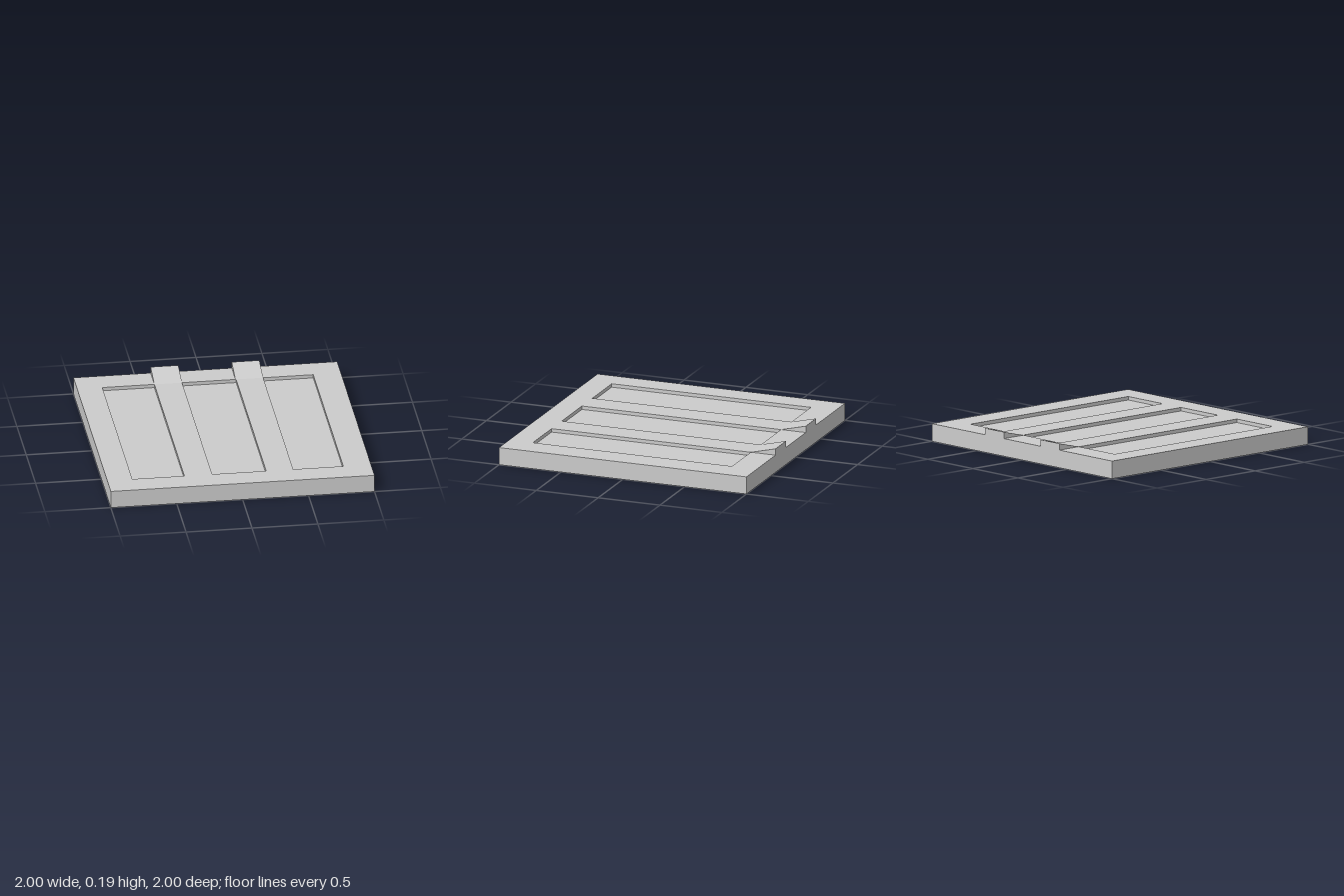
import * as THREE from 'three';

const TOP = 0.135, FLOOR = 0.108;
const Z_BACK = -0.8, Z_FRONT = 0.81;
const panels = [[-0.81, -0.415], [-0.205, 0.205], [0.41, 0.79]];
const ramps = [[-0.415, -0.205], [0.2, 0.41]];

// Outline in plan, with shape y standing for -z
function rect(Type, x0, x1, z0, z1) {
  const s = new Type();
  s.moveTo(x0, -z1);
  s.lineTo(x1, -z1);
  s.lineTo(x1, -z0);
  s.lineTo(x0, -z0);
  s.closePath();
  return s;
}

export function createModel() {
  const group = new THREE.Group();
  group.name = 'recessedPanel';
  const grey = new THREE.MeshStandardMaterial({ color: 0xcccccc });
  grey.name = 'light grey';

  const add = (name, geometry) => {
    const mesh = new THREE.Mesh(geometry, grey);
    mesh.name = name;
    group.add(mesh);
  };

  // Square slab with three long openings
  const outline = rect(THREE.Shape, -1, 1, -1, 1);
  for (const [x0, x1] of panels) outline.holes.push(rect(THREE.Path, x0, x1, Z_BACK, Z_FRONT));
  add('frame', new THREE.ExtrudeGeometry(outline, { depth: TOP, bevelEnabled: false }).rotateX(-Math.PI / 2));

  // Sunken floors filling the openings
  for (const [x0, x1] of panels) {
    const floor = new THREE.BoxGeometry(x1 - x0, FLOOR, Z_FRONT - Z_BACK);
    floor.translate((x0 + x1) / 2, FLOOR / 2, (Z_FRONT + Z_BACK) / 2);
    add('recessFloor', floor);
  }

  // Wedges rising to the back edge between the recesses
  for (const [x0, x1] of ramps) {
    const side = new THREE.Shape();
    side.moveTo(-1, TOP);
    side.lineTo(Z_BACK, TOP);
    side.lineTo(-1, 0.185);
    side.closePath();
    const wedge = new THREE.ExtrudeGeometry(side, { depth: x1 - x0, bevelEnabled: false });
    add('wedge', wedge.rotateY(-Math.PI / 2).translate(x1, 0, 0));
  }
  return group;
}
